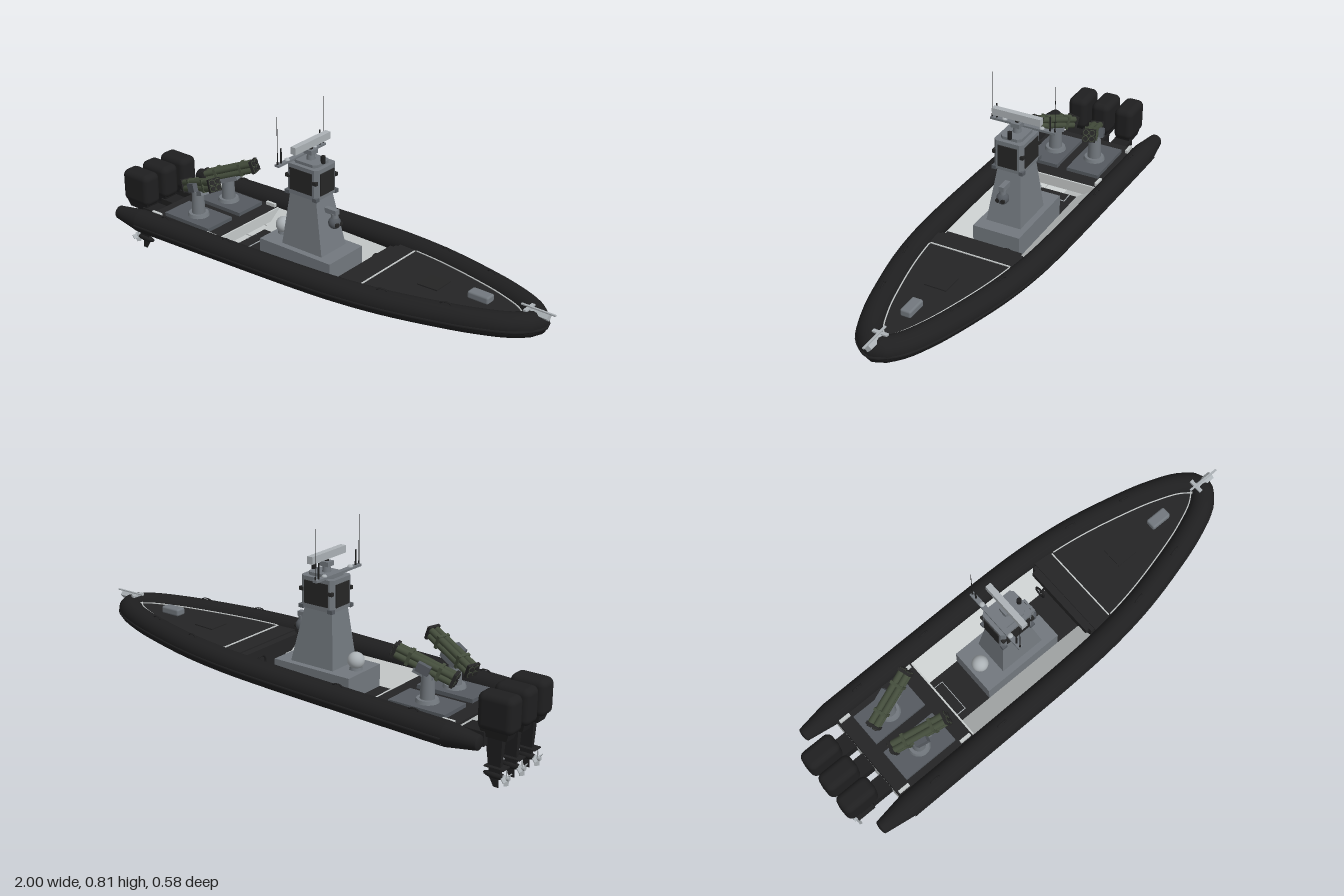
import * as THREE from 'three';
import { RoundedBoxGeometry } from 'three/addons/geometries/RoundedBoxGeometry.js';

const mat = (name, color, side = THREE.FrontSide) =>
  Object.assign(new THREE.MeshStandardMaterial({ color, side }), { name });

export function createModel() {
  const M = {
    rubber: mat('black rubber', 0x1f1f20),
    deck: mat('dark deck', 0x242425),
    grey: mat('grey paint', 0x72787e),
    hull: mat('hull white', 0xc6caca, THREE.DoubleSide),
    green: mat('olive green', 0x434c3b),
    light: mat('light metal', 0xacb2b6),
    glass: mat('dark glass', 0x262626),
    slab: mat('slate grey', 0x555a60),
  };
  const boat = new THREE.Group();
  boat.name = 'patrolBoat';

  const add = (name, geo, m, x = 0, y = 0, z = 0, parent = boat) => {
    const mesh = new THREE.Mesh(geo, m);
    mesh.name = name;
    mesh.position.set(x, y, z);
    parent.add(mesh);
    return mesh;
  };
  const box = (name, m, x0, x1, y0, y1, z0, z1, parent = boat) =>
    add(name, new THREE.BoxGeometry(x1 - x0, y1 - y0, z1 - z0), m,
      (x0 + x1) / 2, (y0 + y1) / 2, (z0 + z1) / 2, parent);
  const cyl = (rt, rb, h, n = 16) => new THREE.CylinderGeometry(rt, rb, h, n);
  // box whose top is scaled and shifted
  const frustum = (w, h, d, sx, sz, dx = 0) => {
    const g = new THREE.BoxGeometry(w, h, d), p = g.attributes.position;
    for (let i = 0; i < p.count; i++)
      if (p.getY(i) > 0) p.setXYZ(i, p.getX(i) * sx + dx, p.getY(i), p.getZ(i) * sz);
    g.computeVertexNormals();
    return g;
  };
  // horizontal slab from an x/z outline, top at y = 0
  const slab = (pts, depth) =>
    new THREE.ExtrudeGeometry(new THREE.Shape(pts), { depth, bevelEnabled: false }).rotateX(Math.PI / 2);

  // collar path, port stern round the bow to starboard stern
  const lineY = x => 0.213 + (x + 0.8) * 0.03;
  const half = [[-0.8, 0.237], [-0.4, 0.237], [0, 0.235], [0.2, 0.227], [0.4, 0.203],
    [0.6, 0.159], [0.75, 0.115], [0.87, 0.06]];
  const full = [...half, [0.922, 0], ...half.slice().reverse().map(([x, z]) => [x, -z])];
  const path = new THREE.CatmullRomCurve3(full.map(([x, z]) => new THREE.Vector3(x, lineY(x), z)));
  const offset = (t, d, dy = 0) => {
    const p = path.getPointAt(t), k = path.getTangentAt(t), l = Math.hypot(k.x, k.z);
    return new THREE.Vector3(p.x - k.z / l * d, p.y + dy, p.z + k.x / l * d);
  };
  const R = 0.047, N = 120;
  add('collarTube', new THREE.TubeGeometry(path, N, R, 20), M.rubber);
  const strake = [];
  for (let i = 0; i <= 60; i++) strake.push(offset(i / 60, R - 0.002, -0.006));
  add('rubStrake', new THREE.TubeGeometry(new THREE.CatmullRomCurve3(strake), N, 0.006, 6), M.rubber);
  for (const s of [1, -1]) {
    add('collarCone', cyl(R, 0.028, 0.125, 20).rotateZ(-Math.PI / 2), M.rubber, -0.8625, lineY(-0.8), s * 0.237);
    add('collarEnd', new THREE.SphereGeometry(0.028, 16, 10).scale(0.3, 1, 1), M.rubber, -0.925, lineY(-0.8), s * 0.237);
    for (const x of [-0.66, -0.33, 0.4, 0.64]) {
      const z = x < 0 ? 0.237 : x < 0.5 ? 0.203 : 0.148;
      const h = add('collarHandle', new THREE.TorusGeometry(0.02, 0.004, 6, 12, Math.PI).scale(1, 0.45, 1),
        M.rubber, x, lineY(x) + R - 0.001, s * z);
      h.rotation.y = x > 0 ? s * 0.22 : 0;
    }
  }

  // vee hull lofted from stern to bow with shallow spray steps
  const steps = [[0, 0], [0.34, -0.003], [0.34, 0.001], [0.68, -0.003], [0.68, 0.001], [1, -0.002]];
  const sections = [];
  for (let i = 0; i <= 48; i++) {
    const p = path.getPointAt(i / 96), x = p.x;
    const f = Math.min(1, p.z / 0.15), c = Math.max(0, p.z - 0.033);
    const ky = 0.096 + 0.122 * Math.pow(Math.max(0, (x - 0.18) / 0.7), 1.5);
    const cy = 0.17 + 0.055 * (x + 0.8) / 1.72;
    const side = steps.map(([t, d]) => [x, ky + (cy - ky) * t + d * f, c * t]);
    side.push([x, p.y + 0.005, Math.max(0, p.z - 0.03)]);
    sections.push([...side.slice(1).reverse().map(([a, b, z]) => [a, b, -z]), ...side]);
  }
  const v = [];
  const quad = (a, b, c, d) => v.push(...a, ...b, ...c, ...a, ...c, ...d);
  for (let i = 0; i < 48; i++)
    for (let j = 0; j < sections[0].length - 1; j++)
      quad(sections[i][j], sections[i + 1][j], sections[i + 1][j + 1], sections[i][j + 1]);
  const s0 = sections[0], last = s0.length - 1;
  for (let j = 0; j < last / 2; j++) quad(s0[j], s0[j + 1], s0[last - j - 1], s0[last - j]);
  const hull = new THREE.BufferGeometry();
  hull.setAttribute('position', new THREE.Float32BufferAttribute(v, 3));
  hull.computeVertexNormals();
  add('hull', hull, M.hull);

  // foredeck sloping with the collar, edged with a thin white rail
  const outline = [], rail = [];
  for (let i = 0; i <= 160; i++) {
    const p = offset(i / 160, -0.044);
    if (p.x > 0.18) outline.push(new THREE.Vector2(p.x, p.z));
    if (p.x > 0.275) rail.push(offset(i / 160, -0.048, 0.019));
  }
  const deckGeo = slab(outline, 0.012), q = deckGeo.attributes.position;
  for (let i = 0; i < q.count; i++) q.setY(i, q.getY(i) + lineY(q.getX(i)) + 0.017);
  add('foredeck', deckGeo, M.deck);
  add('foredeckRail', new THREE.TubeGeometry(new THREE.CatmullRomCurve3(rail), 100, 0.0027, 6), M.hull);
  box('foredeckSeam', M.hull, 0.2725, 0.2775, 0.258, 0.266, -0.17, 0.17);
  box('bulkhead', M.deck, 0.18, 0.2, 0.186, 0.255, -0.175, 0.175);
  box('bulkheadFoot', M.deck, 0.18, 0.2, 0.154, 0.186, -0.1, 0.1);
  const hatch = box('deckHatch', M.deck, 0.44, 0.53, 0.265, 0.273, -0.045, 0.045);
  hatch.rotation.z = 0.03;
  add('windlass', new RoundedBoxGeometry(0.09, 0.03, 0.045, 3, 0.008), M.grey, 0.69, 0.288, 0);
  // bow roller
  add('bowRoller', new THREE.BoxGeometry(0.08, 0.024, 0.024).rotateX(Math.PI / 4), M.light, 0.935, 0.303, 0);
  box('bowArm', M.light, 0.86, 1, 0.316, 0.321, -0.004, 0.004);
  box('bowCrossbar', M.light, 0.885, 0.9, 0.308, 0.316, -0.03, 0.03);

  // cockpit floor and sloping side walls, aft deck
  box('cockpitFloor', M.deck, -0.435, 0.18, 0.149, 0.157, -0.107, 0.107);
  for (const s of [1, -1]) {
    const wall = add('cockpitWall', new THREE.BoxGeometry(0.615, 0.004, 0.12), M.hull, -0.1275, 0.191, s * 0.15);
    wall.rotation.x = -s * 0.62;
  }
  box('aftDeck', M.deck, -0.798, -0.435, 0.178, 0.226, -0.19, 0.19);
  box('aftCockpitWall', M.hull, -0.436, -0.429, 0.182, 0.227, -0.185, 0.185);
  box('floorHatchRim', M.light, -0.428, -0.378, 0.157, 0.16, -0.072, 0.072);
  box('floorHatch', M.deck, -0.425, -0.381, 0.157, 0.162, -0.069, 0.069);
  const wheel = add('steeringWheel', new THREE.TorusGeometry(0.024, 0.004, 6, 20), M.rubber, 0.145, 0.215, -0.09);
  wheel.rotation.y = Math.PI / 2;
  add('wheelShaft', cyl(0.005, 0.005, 0.04, 8).rotateZ(Math.PI / 2), M.rubber, 0.165, 0.215, -0.09);
  box('dashboard', M.deck, 0.165, 0.19, 0.225, 0.255, -0.16, 0.16);

  // console, tower and sensor head
  box('consoleBase', M.grey, -0.28, 0.072, 0.156, 0.247, -0.1, 0.1);
  add('radome', new THREE.SphereGeometry(0.033, 24, 16), M.light, -0.24, 0.282, 0);
  add('radomeBase', cyl(0.022, 0.026, 0.016), M.grey, -0.24, 0.253, 0);
  add('tower', frustum(0.2, 0.227, 0.15, 0.64, 0.66, -0.012), M.grey, -0.087, 0.3535, 0);
  const oct = (x0, x1, w, c) => [[x0 + c, -w], [x1 - c, -w], [x1, c - w], [x1, w - c],
    [x1 - c, w], [x0 + c, w], [x0, w - c], [x0, c - w]].map(p => new THREE.Vector2(...p));
  add('sensorHead', slab(oct(-0.173, -0.022, 0.062, 0.012), 0.125), M.grey, 0, 0.593, 0);
  add('headCap', slab(oct(-0.155, -0.04, 0.045, 0.014), 0.012), M.grey, 0, 0.605, 0);
  box('frontScreen', M.glass, -0.023, -0.017, 0.485, 0.575, -0.041, 0.041);
  box('rearScreen', M.glass, -0.177, -0.172, 0.485, 0.575, -0.041, 0.041);
  for (const s of [1, -1]) {
    box('sideScreen', M.glass, -0.153, -0.043, 0.487, 0.577, s * 0.062 - 0.003, s * 0.062 + 0.003);
    for (const x of [-0.165, -0.03]) {
      box('headLug', M.glass, x - 0.009, x + 0.009, 0.534, 0.548, s * 0.06 - 0.007, s * 0.06 + 0.007);
      box('headFoot', M.slab, x - 0.011, x + 0.011, 0.465, 0.48, s * 0.058 - 0.009, s * 0.058 + 0.009);
    }
    // antennas and lamps on the crossbar
    add('whipAntenna', cyl(0.001, 0.0016, 0.2, 6), M.rubber, -0.15, 0.705, s * 0.135);
    add('whipBase', cyl(0.003, 0.004, 0.02, 8), M.rubber, -0.15, 0.614, s * 0.135);
    add('stubAntenna', cyl(0.003, 0.004, 0.06, 8), M.rubber, -0.15, 0.642, s * 0.115);
    add('lampDome', new THREE.SphereGeometry(0.011, 12, 8).scale(1, 0.7, 1), M.light, -0.15, 0.613, s * 0.08);
  }
  box('antennaCrossbar', M.grey, -0.16, -0.14, 0.603, 0.612, -0.14, 0.14);
  add('mastLamp', cyl(0.009, 0.009, 0.03, 12), M.rubber, -0.04, 0.617, 0);
  add('radarPedestal', cyl(0.014, 0.018, 0.03), M.grey, -0.1, 0.615, 0);
  box('radarGearbox', M.grey, -0.12, -0.08, 0.628, 0.646, -0.019, 0.019);
  add('radarNeck', cyl(0.008, 0.008, 0.015), M.glass, -0.1, 0.652, 0);
  box('radarBar', M.light, -0.112, -0.088, 0.656, 0.685, -0.103, 0.103);
  // stabilised camera ball
  box('cameraArm', M.grey, -0.05, 0.03, 0.405, 0.425, -0.011, 0.011);
  add('cameraYoke', cyl(0.014, 0.014, 0.02), M.grey, 0.016, 0.4, 0);
  add('cameraBall', new THREE.SphereGeometry(0.025, 20, 14), M.slab, 0.016, 0.37, 0);
  for (const s of [1, -1])
    add('cameraLens', cyl(0.009, 0.009, 0.008).rotateZ(Math.PI / 2), M.glass, 0.037, 0.368, s * 0.011);

  // missile launchers
  for (const s of [1, -1]) {
    box('launcherPlate', M.slab, -0.74, -0.5, 0.226, 0.241, s * 0.092 - 0.07, s * 0.092 + 0.07);
    add('launcherFoot', cyl(0.04, 0.045, 0.014, 20), M.grey, -0.62, 0.247, s * 0.09);
    add('launcherPedestal', cyl(0.024, 0.028, 0.1), M.grey, -0.62, 0.3, s * 0.09);
    for (const x of [-0.768, -0.467])
      box('deckCleat', M.hull, x - 0.024, x + 0.024, 0.226, 0.24, s * 0.181 - 0.006, s * 0.181 + 0.006);
    const L = new THREE.Group();
    L.name = 'launcher';
    L.position.set(-0.605, 0.377, s * 0.088);
    L.rotation.set(0, -s * 0.28, 0.36, 'YZX');
    boat.add(L);
    for (const y of [-0.0125, 0.0125]) for (const z of [-0.0125, 0.0125]) {
      add('launchTube', cyl(0.0125, 0.0125, 0.25).rotateZ(Math.PI / 2), M.green, 0, y, z, L);
      for (const x of [-0.126, 0.126])
        add('tubeCap', cyl(0.0095, 0.0095, 0.006).rotateZ(Math.PI / 2), M.glass, x, y, z, L);
    }
    for (const x of [-0.118, -0.06, 0.06, 0.118])
      box('tubeClamp', Math.abs(x) > 0.1 ? M.glass : M.green,
        x - 0.006, x + 0.006, -0.0265, 0.0265, -0.0265, 0.0265, L);
    box('launcherCradle', M.grey, -0.05, 0.03, -0.04, -0.02, -0.022, 0.022, L);
    box('launcherSight', M.slab, -0.03, 0.02, -0.02, 0.015, s * 0.035 - 0.01, s * 0.035 + 0.01, L);
  }

  // three outboard motors
  for (const z of [-0.108, 0, 0.108]) {
    const m = new THREE.Group();
    m.name = 'outboardMotor';
    m.position.z = z;
    boat.add(m);
    add('cowl', new RoundedBoxGeometry(0.145, 0.14, 0.084, 4, 0.026), M.rubber, -0.9275, 0.285, 0, m);
    add('cowlBase', frustum(0.095, 0.045, 0.05, 1.3, 1.4), M.rubber, -0.925, 0.213, 0, m);
    box('mountBracket', M.rubber, -0.89, -0.8, 0.155, 0.21, -0.036, 0.036, m);
    add('leg', frustum(0.045, 0.15, 0.012, 1.55, 2.2, 0.005), M.rubber, -0.92, 0.125, 0, m);
    box('cavitationPlate', M.rubber, -0.965, -0.885, 0.077, 0.081, -0.023, 0.023, m);
    add('gearcase', new THREE.SphereGeometry(0.0135, 16, 10).scale(3.6, 1, 1), M.rubber, -0.92, 0.045, 0, m);
    add('skeg', frustum(0.02, 0.04, 0.004, 2, 1, 0.012), M.rubber, -0.925, 0.02, 0, m);
    add('propHub', cyl(0.008, 0.01, 0.03, 12).rotateZ(Math.PI / 2), M.light, -0.963, 0.045, 0, m);
    for (let i = 0; i < 4; i++) {
      const b = new THREE.BoxGeometry(0.003, 0.024, 0.019).rotateY(0.6).translate(0, 0.018, 0);
      add('propBlade', b, M.light, -0.965, 0.045, 0, m).rotation.x = i * Math.PI / 2;
    }
  }
  return boat;
}
